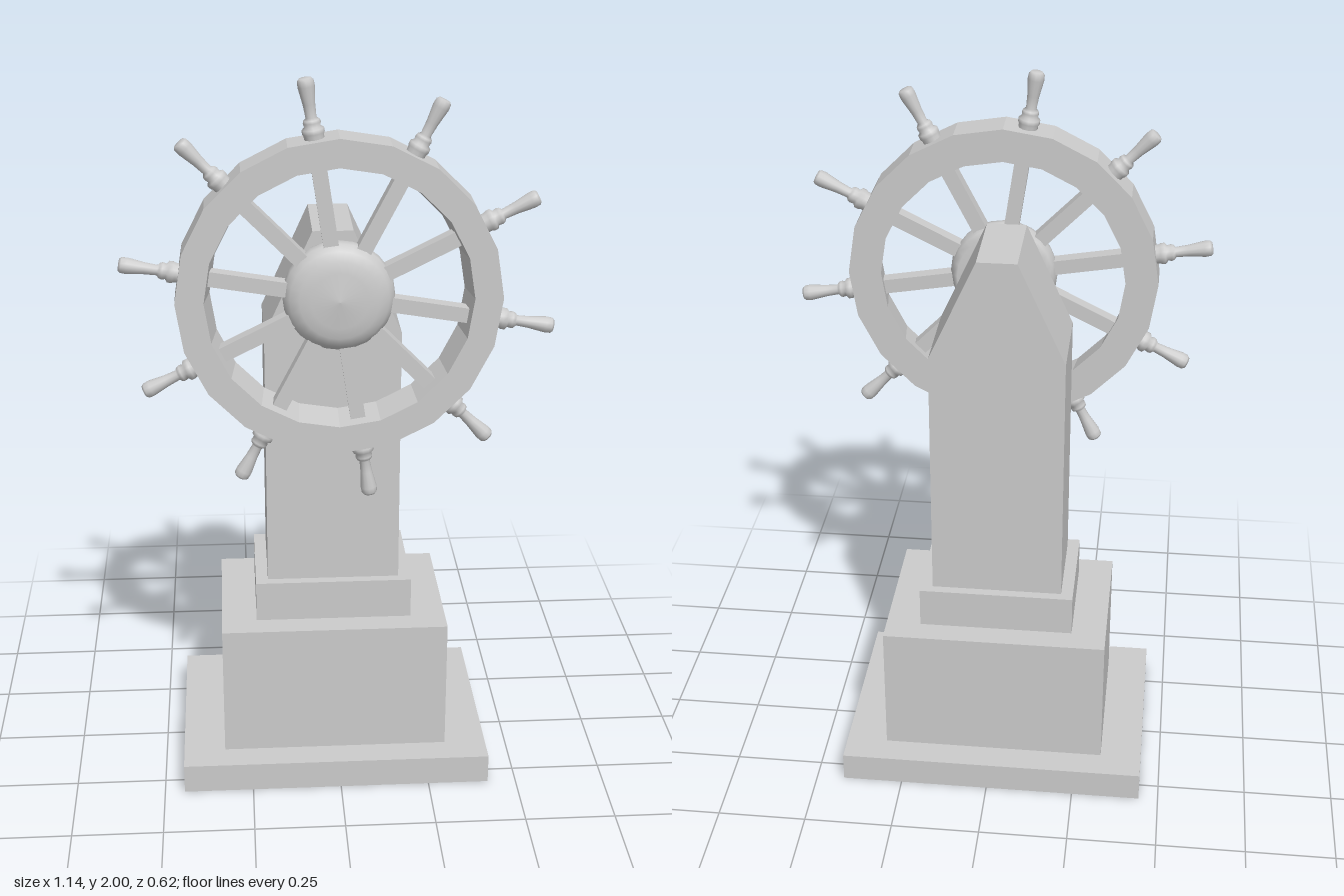
import * as THREE from 'three';

const material = new THREE.MeshStandardMaterial({ color: 0xcccccc });
const flat = new THREE.MeshStandardMaterial({ color: 0xcccccc, flatShading: true });

function add(parent, name, geometry, mat = flat) {
  const mesh = new THREE.Mesh(geometry, mat);
  mesh.name = name;
  parent.add(mesh);
  return mesh;
}

// Surface of revolution from [radius, height] pairs
function lathe(points, segments) {
  return new THREE.LatheGeometry(points.map(([r, h]) => new THREE.Vector2(r, h)), segments);
}

export function createModel() {
  const model = new THREE.Group();
  model.name = 'shipWheelOnPedestal';
  const baseX = -0.012;

  // Stepped plinth: name, width, depth, bottom, top
  const steps = [
    ['baseSlab', 0.865, 0.62, 0, 0.083],
    ['plinth', 0.632, 0.456, 0.083, 0.462],
    ['collar', 0.436, 0.316, 0.462, 0.577],
  ];
  for (const [name, w, d, y0, y1] of steps) {
    add(model, name, new THREE.BoxGeometry(w, y1 - y0, d)).position.set(baseX, (y0 + y1) / 2, 0);
  }

  // Post with sloped shoulders and a narrow flat top
  const outline = new THREE.Shape([
    [-0.184, 0.577], [0.184, 0.577], [0.184, 1.305],
    [0.054, 1.59], [-0.054, 1.59], [-0.184, 1.305],
  ].map(([x, y]) => new THREE.Vector2(x, y)));
  const post = add(model, 'post', new THREE.ExtrudeGeometry(outline, { depth: 0.262, bevelEnabled: false }));
  post.position.set(baseX, 0, -0.131);

  // Wheel, centred on its own axle
  const wheel = new THREE.Group();
  wheel.name = 'wheel';
  wheel.position.set(0, 1.43, 0.181);
  model.add(wheel);

  // Faceted rim, its bore a little tighter at the back
  const rim = add(wheel, 'rim', lathe([
    [0.337, -0.051], [0.427, -0.051], [0.427, 0.051], [0.352, 0.051], [0.337, -0.051],
  ], 20));
  rim.rotation.x = Math.PI / 2;

  // Domed hub
  const hub = add(wheel, 'hub', lathe([
    [0, -0.051], [0.125, -0.051], [0.14, -0.035], [0.148, -0.005], [0.145, 0.015],
    [0.13, 0.035], [0.105, 0.047], [0.075, 0.051], [0, 0.06],
  ], 24), material);
  hub.rotation.x = Math.PI / 2;

  // Ten spokes, each ending in a turned handle
  const spokeGeometry = new THREE.BoxGeometry(0.04, 0.26, 0.04);
  const handleGeometry = lathe([
    [0.026, 0.405], [0.026, 0.43], [0.029, 0.436], [0.029, 0.447], [0.021, 0.453],
    [0.023, 0.463], [0.021, 0.47], [0.014, 0.476], [0.016, 0.51], [0.022, 0.555],
    [0.021, 0.57], [0.016, 0.576], [0, 0.577],
  ], 12);
  for (let i = 0; i < 10; i++) {
    const arm = new THREE.Group();
    arm.name = `arm${i + 1}`;
    arm.rotation.z = THREE.MathUtils.degToRad(8.5 + i * 36);
    add(arm, 'spoke', spokeGeometry).position.y = 0.235;
    add(arm, 'handle', handleGeometry, material);
    wheel.add(arm);
  }
  return model;
}
